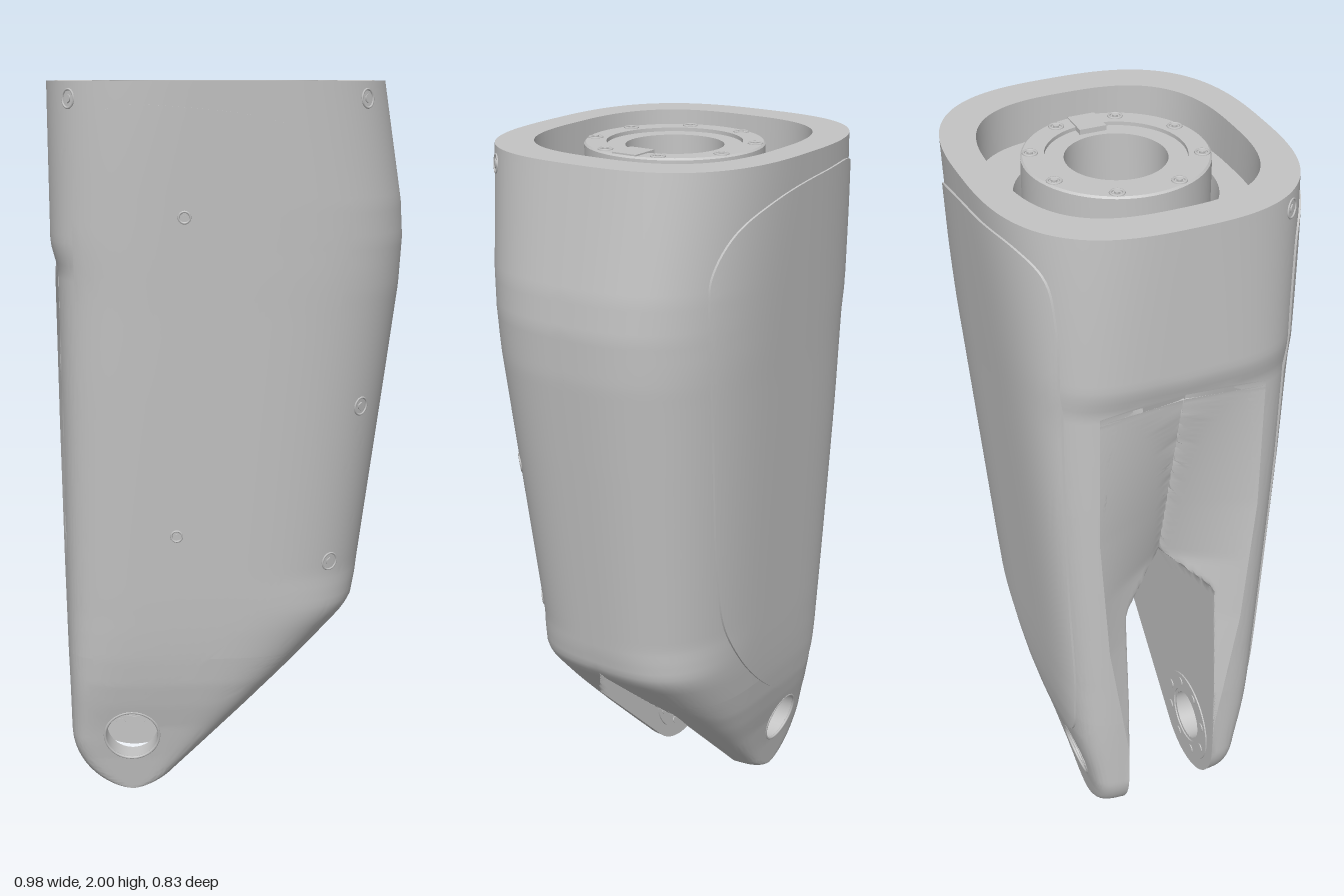
import * as THREE from 'three';
import { toCreasedNormals } from 'three/addons/utils/BufferGeometryUtils.js';

const N = 80;                       // columns across one half shell
const Y0 = 0.42;                    // height where the fork lugs begin
const FLOOR = 1.88, PIT = 1.8;      // levels inside the top socket
const LUG = { x: -0.275, y: 0.175, r: 0.175, hole: 0.075 };
const AXIS = -0.03;                 // x of the vertical bore

// piecewise linear lookup through [position, value] knots
function lerpKnots(knots, t) {
  if (t <= knots[0][0]) return knots[0][1];
  for (let i = 1; i < knots.length; i++) {
    const [a, va] = knots[i - 1], [b, vb] = knots[i];
    if (t <= b) return va + (vb - va) * (t - a) / (b - a);
  }
  return knots[knots.length - 1][1];
}

// body profile by height: left and right edge, half depth, squareness of the left and right corners
const leftKnots = [[0.175, -0.45], [0.42, -0.455], [1.5, -0.466], [1.57, -0.486], [2, -0.492]];
const rightKnots = [[0.049, -0.154], [0.42, 0.235], [0.53, 0.343], [0.56, 0.36], [0.62, 0.372], [1.2, 0.448],
  [1.45, 0.48], [1.58, 0.488], [1.68, 0.482], [2, 0.432]];
const depthKnots = [[0, 0.2], [0.1, 0.217], [0.2, 0.238], [0.27, 0.257], [0.34, 0.273], [0.42, 0.286], [0.5, 0.295],
  [0.6, 0.304], [1.4, 0.365], [2, 0.415]];
const squareLeft = [[0.15, 7], [0.42, 6], [1.2, 5], [1.5, 4.4], [1.57, 4], [2, 2.8]];
const squareRight = [[0.1, 6.5], [0.3, 4.4], [0.42, 3.6], [0.65, 2.8], [2, 2.8]];
const lugChord = (y) => Math.sqrt(Math.max(0, LUG.r ** 2 - (LUG.y - y) ** 2));
const xLeft = (y) => y < 0.175 ? LUG.x - lugChord(y) : lerpKnots(leftKnots, y);
const xRight = (y) => y < 0.049 ? LUG.x + lugChord(y) : lerpKnots(rightKnots, y);

// hollow side: half width and depth of the scoop between the arms
const scoopWidth = [[0.25, 0.13], [0.7, 0.2], [1.1, 0.23], [1.5, 0.23]];
const scoopDepth = [[0.3, 0.05], [0.9, 0.13], [1.5, 0.003]];

// half width of the empty middle: pointed fork slot, vertical bore and scoop
function gapAt(x, y) {
  const slot = 0.135 * THREE.MathUtils.clamp(Math.min((0.345 - x) / 0.175, (0.82 - 0.3 * x - y) / 0.15), 0, 1);
  const radius = lerpKnots([[0.42, 0.133], [0.8, 0.133], [0.9, 0.165]], y);
  const bore = Math.sqrt(Math.max(0, radius ** 2 - (x - AXIS) ** 2));
  const scoop = y > 1.5 || y < 0.25 ? 0 : lerpKnots(scoopWidth, y) * (1 - (x - xLeft(y)) / lerpKnots(scoopDepth, y));
  return Math.max(slot, bore, scoop);
}

// depth of the outer skin
function skinAt(x, y) {
  const l = xLeft(y), r = xRight(y), mid = (l + r) / 2;
  const n = lerpKnots(x < mid ? squareLeft : squareRight, y);
  const u = r - l < 1e-5 ? 1 : Math.min(1, Math.abs((x - mid) / ((r - l) / 2)));
  const z = lerpKnots(depthKnots, y) * Math.pow(Math.max(0, 1 - u ** n), 1 / n);
  return Math.max(z < 1e-3 ? 0 : z, gapAt(x, y));
}

// point on a rounded-square loop
function loopPoint(angle, l, r, depth, nLeft, nRight) {
  const n = Math.cos(angle) < 0 ? nLeft : nRight;
  const f = (v) => Math.abs(v) < 1e-6 ? 0 : Math.sign(v) * Math.pow(Math.abs(v), 2 / n);
  return [(l + r) / 2 + (r - l) / 2 * f(Math.cos(angle)), depth * f(Math.sin(angle))];
}
const bodyPoint = (angle, y) => loopPoint(angle, xLeft(y), xRight(y), lerpKnots(depthKnots, y),
  lerpKnots(squareLeft, y), lerpKnots(squareRight, y));

// surface through a grid of points
function gridSurface(rows, cols, point, flip = false) {
  const pos = [], index = [];
  for (let i = 0; i <= rows; i++) for (let j = 0; j <= cols; j++) pos.push(...point(i, j));
  for (let i = 0; i < rows; i++) for (let j = 0; j < cols; j++) {
    const a = i * (cols + 1) + j, b = a + 1, c = a + cols + 1, d = c + 1;
    if (flip) index.push(a, b, c, b, d, c); else index.push(a, c, b, b, c, d);
  }
  const g = new THREE.BufferGeometry();
  g.setAttribute('position', new THREE.Float32BufferAttribute(pos, 3));
  g.setIndex(index);
  return toCreasedNormals(g, 0.7);
}

// surface spreading from a centre (or hole) out to a closed outline
function radialSurface(centre, hole, outline, steps, depth, flip) {
  return gridSurface(steps, outline.length, (i, j) => {
    const [bx, by] = outline[j % outline.length];
    const dx = bx - centre.x, dy = by - centre.y, len = Math.hypot(dx, dy);
    const t = 1 - (1 - Math.min(1, i / (steps - 1))) ** 2;
    const k = (hole + (len - hole) * t) / len;
    const x = centre.x + dx * k, y = centre.y + dy * k;
    return [x, y, depth(x, y, i)];
  }, flip);
}

export function createModel() {
  const model = new THREE.Group();
  const grey = new THREE.MeshStandardMaterial({ color: 0xc4c4c4, side: THREE.DoubleSide });
  grey.name = 'shell grey';
  const add = (name, geometry, parent = model) => {
    const m = new THREE.Mesh(geometry, grey);
    m.name = name;
    parent.add(m);
    return m;
  };

  // outline of a fork lug: top edge, left side, round end, sloping underside
  const lugOutline = [];
  for (let j = 0; j <= N; j++) lugOutline.push([bodyPoint(Math.PI * j / N, Y0)[0], Y0]);
  for (const y of [0.36, 0.3, 0.23]) lugOutline.push([xLeft(y), y]);
  for (let k = 0; k <= 36; k++) {
    const a = Math.PI + (Math.PI * 0.744) * k / 36;
    lugOutline.push([LUG.x + LUG.r * Math.cos(a), LUG.y + LUG.r * Math.sin(a)]);
  }
  for (let k = 1; k < 12; k++) {
    const y = 0.049 + (Y0 - 0.049) * k / 12;
    lugOutline.push([xRight(y), y]);
  }

  // outline of the side cover panel
  const panelOutline = new THREE.CatmullRomCurve3([
    [0.32, 1.64], [0.315, 1.74], [0.25, 1.84], [0.12, 1.9], [-0.12, 1.935], [-0.3, 1.935], [-0.38, 1.89],
    [-0.41, 1.76], [-0.41, 1.4], [-0.4, 0.9], [-0.39, 0.5], [-0.36, 0.36], [-0.28, 0.305], [-0.17, 0.34],
    [0.04, 0.51], [0.16, 0.68], [0.21, 0.86], [0.27, 1.25]
  ].map(([x, y]) => new THREE.Vector3(x, y, 0)), true).getPoints(120).slice(0, 120).map((p) => [p.x, p.y]);

  for (const s of [1, -1]) {
    const half = new THREE.Group();
    half.name = s > 0 ? 'frontHalf' : 'backHalf';
    model.add(half);
    const back = s < 0;
    const rows = 79, yAt = (i, top) => Y0 + (top - Y0) * i / rows;

    add('outerShell', gridSurface(rows, N, (i, j) => {
      const y = yAt(i, 2), [x, z] = bodyPoint(Math.PI * j / N, y);
      return [x, y, s * Math.max(z, y < PIT ? gapAt(x, y) : 0)];
    }, back), half);
    add('innerWall', gridSurface(rows, N, (i, j) => {
      const y = yAt(i, PIT), x = bodyPoint(Math.PI * j / N, y)[0];
      return [x, y, s * gapAt(x, y)];
    }, !back), half);

    // fork lug with its pin hole
    add('lugOuterFace', radialSurface(LUG, LUG.hole, lugOutline, 24, (x, y) => s * skinAt(x, y), back), half);
    add('lugInnerFace', radialSurface(LUG, LUG.hole, lugOutline, 24, (x, y) => s * gapAt(x, y), !back), half);
    add('pinHoleWall', gridSurface(1, 48, (i, j) => {
      const a = 2 * Math.PI * j / 48;
      const x = LUG.x + LUG.hole * Math.cos(a), y = LUG.y + LUG.hole * Math.sin(a);
      return [x, y, s * (i ? skinAt(x, y) : gapAt(x, y))];
    }, back), half);
    const rim = add('pinHoleRim', new THREE.TorusGeometry(0.077, 0.004, 8, 40), half);
    rim.position.set(LUG.x, LUG.y, s * (skinAt(LUG.x, LUG.y) - 0.001));
    rim.rotation.x = s * 0.23;

    // bearing seat and bolts on the inside of the lug
    const seat = new THREE.Shape().absarc(0, 0, 0.14, 0, Math.PI * 2);
    seat.holes.push(new THREE.Path().absarc(0, 0, 0.085, 0, Math.PI * 2));
    const seatMesh = add('bearingSeat', new THREE.ExtrudeGeometry(seat, { depth: 0.008, bevelEnabled: false, curveSegments: 32 }), half);
    seatMesh.position.set(LUG.x, LUG.y, s * 0.135 - 0.004);
    for (let k = 0; k < 8; k++) {
      const a = Math.PI * (k + 0.5) / 4;
      const bolt = add('bearingBolt', new THREE.CylinderGeometry(0.014, 0.014, 0.014, 12), half);
      bolt.rotation.x = Math.PI / 2;
      bolt.position.set(LUG.x + 0.113 * Math.cos(a), LUG.y + 0.113 * Math.sin(a), s * 0.135);
    }

    // raised cover panel with a thin edge
    add('coverPanel', radialSurface({ x: -0.08, y: 1.2 }, 0, panelOutline, 28,
      (x, y, i) => s * (skinAt(x, y) + (i > 27 ? -0.002 : 0.006)), back), half);
  }

  // top rim, socket wall, socket floor and the pit around the flange
  const socket = (a, y) => { const [x, z] = loopPoint(a, -0.39, 0.33, 0.328, 2.8, 2.8); return [x, y, z]; };
  const circle = (a, r, y) => [AXIS + r * Math.cos(a), y, r * Math.sin(a)];
  const topLoops = [
    (a) => { const [x, z] = bodyPoint(a, 2); return [x, 2, z]; },
    (a) => socket(a, 2), (a) => socket(a, FLOOR),
    (a) => circle(a, 0.265, FLOOR), (a) => circle(a, 0.258, PIT), (a) => circle(a, 0.165, PIT)
  ];
  add('topSocket', gridSurface(5, 2 * N, (i, j) => topLoops[i](Math.PI * j / N)));

  // bolted bearing flange
  const flange = new THREE.Group();
  flange.name = 'flange';
  flange.position.x = AXIS;
  model.add(flange);
  const profile = [[0.133, PIT], [0.243, PIT], [0.243, 1.98], [0.238, 1.985], [0.183, 1.985], [0.183, 1.975],
    [0.133, 1.975], [0.133, PIT]].map(([r, y]) => new THREE.Vector2(r, y));
  add('flangeRing', toCreasedNormals(new THREE.LatheGeometry(profile, 64), 0.5), flange);
  for (let k = 0; k < 8; k++) {
    const a = Math.PI * (k + 0.5) / 4;
    const collar = add('flangeBoltCollar', new THREE.TorusGeometry(0.017, 0.004, 6, 16), flange);
    collar.rotation.x = Math.PI / 2;
    collar.position.set(0.218 * Math.cos(a), 1.985, 0.218 * Math.sin(a));
    const bolt = add('flangeBolt', new THREE.CylinderGeometry(0.009, 0.009, 0.01, 6), flange);
    bolt.position.set(0.218 * Math.cos(a), 1.985, 0.218 * Math.sin(a));
  }
  const key = add('flangeKey', new THREE.BoxGeometry(0.085, 0.022, 0.075), flange);
  key.position.set(0.193, 1.978, 0);

  // screws on the front skin, turned to follow the surface
  const screws = [[-0.42, 1.955, 0.024], [0.36, 1.955, 0.024], [0.36, 1.13, 0.024], [0.28, 0.69, 0.024],
    [-0.12, 1.655, 0.015], [-0.145, 0.785, 0.015]];
  for (const [x, y, r] of screws) {
    const e = 0.01, onPanel = r < 0.02 ? 0.006 : 0;
    const normal = new THREE.Vector3((skinAt(x - e, y) - skinAt(x + e, y)) / (2 * e),
      (skinAt(x, y - e) - skinAt(x, y + e)) / (2 * e), 1).normalize();
    const screw = new THREE.Group();
    screw.name = 'screw';
    screw.position.set(x, y, skinAt(x, y) + onPanel);
    screw.quaternion.setFromUnitVectors(new THREE.Vector3(0, 0, 1), normal);
    model.add(screw);
    add('screwCollar', new THREE.TorusGeometry(r, 0.003, 6, 24), screw);
    add('screwHead', new THREE.CylinderGeometry(r * 0.5, r * 0.5, 0.006, 6), screw).rotation.x = Math.PI / 2;
  }
  return model;
}
